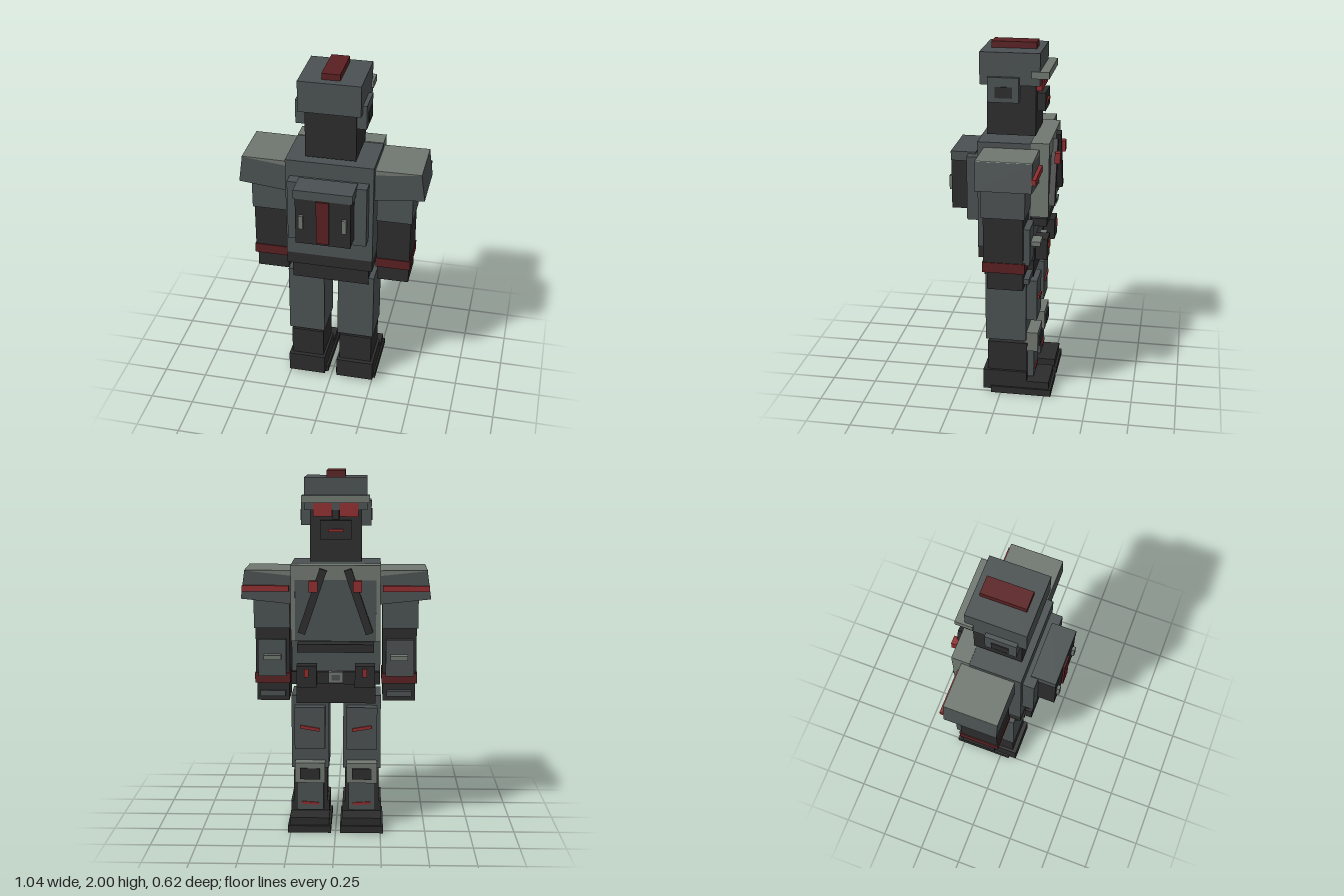
import * as THREE from 'three';

const mat = (name, color) => {
  const m = new THREE.MeshStandardMaterial({ color });
  m.name = name;
  return m;
};

export function createModel() {
  const model = new THREE.Group();
  model.name = 'armouredFigure';
  const grey = mat('armourGrey', 0x4b5152);
  const dark = mat('charcoal', 0x2c2c2d);
  const light = mat('paleGrey', 0x707770);
  const red = mat('brightRed', 0x902c2e);
  const deepRed = mat('deepRed', 0x5a2022);

  // Box from its limits on each axis, with an optional roll about z
  function box(name, m, x0, x1, y0, y1, z0, z1, roll = 0) {
    const mesh = new THREE.Mesh(new THREE.BoxGeometry(Math.abs(x1 - x0), y1 - y0, z1 - z0), m);
    mesh.position.set((x0 + x1) / 2, (y0 + y1) / 2, (z0 + z1) / 2);
    mesh.rotation.z = roll;
    mesh.name = name;
    model.add(mesh);
    return mesh;
  }
  // Box centred on x = 0
  const mid = (name, m, w, ...rest) => box(name, m, -w, w, ...rest);

  // Prism along z from an outline in x and y
  function prism(name, m, points, z0, z1) {
    const shape = new THREE.Shape(points.map(([x, y]) => new THREE.Vector2(x, y)));
    const geo = new THREE.ExtrudeGeometry(shape, { depth: z1 - z0, bevelEnabled: false });
    const mesh = new THREE.Mesh(geo, m);
    mesh.position.z = z0;
    mesh.name = name;
    model.add(mesh);
  }

  // Head and helmet; the face looks along -z
  mid('head', dark, 0.14, 1.51, 1.79, -0.175, 0.09);
  mid('helmet', grey, 0.17, 1.79, 1.965, -0.2, 0.125);
  mid('helmetCrest', deepRed, 0.05, 1.965, 2.0, -0.165, 0.08);
  mid('helmetBrim', light, 0.183, 1.832, 1.87, -0.25, -0.155);
  mid('noseBridge', dark, 0.018, 1.74, 1.83, -0.195, -0.17);
  mid('mouthGuard', dark, 0.085, 1.635, 1.735, -0.22, -0.17);
  mid('mouth', red, 0.042, 1.675, 1.69, -0.229, -0.215);

  // Torso, belt and hips
  mid('torso', grey, 0.245, 0.9, 1.495, -0.165, 0.125);
  mid('waist', dark, 0.245, 0.83, 0.9, -0.19, 0.125);
  mid('hips', dark, 0.22, 0.72, 0.83, -0.18, 0.097);
  mid('collarPlate', light, 0.243, 1.42, 1.5, -0.264, -0.163);
  mid('chestPanel', grey, 0.22, 1.085, 1.42, -0.258, -0.163);
  mid('chestLowerBar', dark, 0.21, 1.02, 1.065, -0.25, -0.163);
  mid('beltBuckle', light, 0.04, 0.845, 0.905, -0.222, -0.185);
  mid('buckleInset', grey, 0.024, 0.86, 0.89, -0.228, -0.22);

  // Backpack
  mid('backPlate', grey, 0.22, 1.04, 1.4, 0.12, 0.19);
  mid('backpack', dark, 0.152, 1.08, 1.36, 0.15, 0.288);
  mid('backpackLid', grey, 0.162, 1.358, 1.41, 0.15, 0.289);
  mid('backpackStripe', deepRed, 0.035, 1.095, 1.355, 0.28, 0.298);

  for (const s of [1, -1]) {
    const side = s > 0 ? 'left' : 'right';
    const b = (name, m, x0, x1, ...rest) => box(side + name, m, s * x0, s * x1, ...rest);

    // Head details
    b('Eye', red, 0.02, 0.122, 1.755, 1.83, -0.205, -0.165);
    b('EarGuard', light, 0.135, 0.193, 1.7, 1.835, -0.09, 0.08).material = grey;
    b('EarInset', dark, 0.19, 0.198, 1.725, 1.785, -0.055, 0.038);

    // Chest trim, straps, clips and pouches
    b('ChestTrim', light, 0.22, 0.243, 1.085, 1.42, -0.262, -0.163);
    b('ChestStrap', dark, 0.104, 0.146, 1.122, 1.488, -0.29, -0.256, s * 0.33);
    b('StrapClip', red, 0.095, 0.142, 1.36, 1.42, -0.31, -0.28);
    b('Pouch', dark, 0.105, 0.215, 0.825, 0.945, -0.255, -0.18);
    b('PouchTab', red, 0.147, 0.173, 0.885, 0.93, -0.264, -0.25);
    b('PackClip', light, 0.107, 0.132, 1.18, 1.26, 0.28, 0.305);

    // Shoulder armour, raised at the outer end, with a pale top
    prism(side + 'Shoulder', grey,
      [[s * 0.235, 1.28], [s * 0.518, 1.31], [s * 0.497, 1.464], [s * 0.235, 1.435]], -0.21, 0.09);
    prism(side + 'ShoulderTop', light,
      [[s * 0.235, 1.435], [s * 0.499, 1.464], [s * 0.497, 1.467], [s * 0.235, 1.465]], -0.21, 0.09);
    b('ShoulderStripe', red, 0.255, 0.51, 1.352, 1.384, -0.23, -0.205);

    // Arm and hand
    b('UpperArm', grey, 0.255, 0.453, 1.14, 1.31, -0.165, 0.07);
    b('Forearm', dark, 0.257, 0.445, 0.88, 1.14, -0.155, 0.06);
    b('ForearmPlate', grey, 0.275, 0.43, 0.875, 1.08, -0.19, -0.15);
    b('ForearmBracket', light, 0.3, 0.395, 0.975, 1.0, -0.242, -0.185);
    b('WristBand', deepRed, 0.253, 0.45, 0.83, 0.887, -0.165, 0.065);
    b('Hand', dark, 0.26, 0.44, 0.73, 0.83, -0.155, 0.04);
    b('KnucklePlate', grey, 0.28, 0.42, 0.76, 0.79, -0.185, -0.15);

    // Leg
    b('Thigh', grey, 0.04, 0.25, 0.335, 0.755, -0.145, 0.085);
    b('ThighPlate', grey, 0.06, 0.23, 0.46, 0.7, -0.203, -0.14);
    b('ThighStripe', red, 0.09, 0.2, 0.572, 0.59, -0.212, -0.198, s * 0.17);
    b('KneePad', light, 0.06, 0.23, 0.265, 0.38, -0.21, -0.13);
    b('KneeInset', dark, 0.09, 0.2, 0.288, 0.35, -0.218, -0.209);
    b('Shin', dark, 0.05, 0.24, 0.14, 0.315, -0.15, 0.075);
    b('ShinPlate', grey, 0.07, 0.22, 0.1, 0.265, -0.187, -0.145);
    b('ShinStripe', red, 0.095, 0.195, 0.133, 0.147, -0.194, -0.182, s * 0.07);

    // Boot
    b('Boot', dark, 0.037, 0.255, 0.02, 0.14, -0.15, 0.1);
    b('Toe', dark, 0.035, 0.255, 0.02, 0.083, -0.277, -0.145);
    b('Sole', dark, 0.025, 0.265, 0, 0.04, -0.29, 0.055);
  }
  return model;
}
